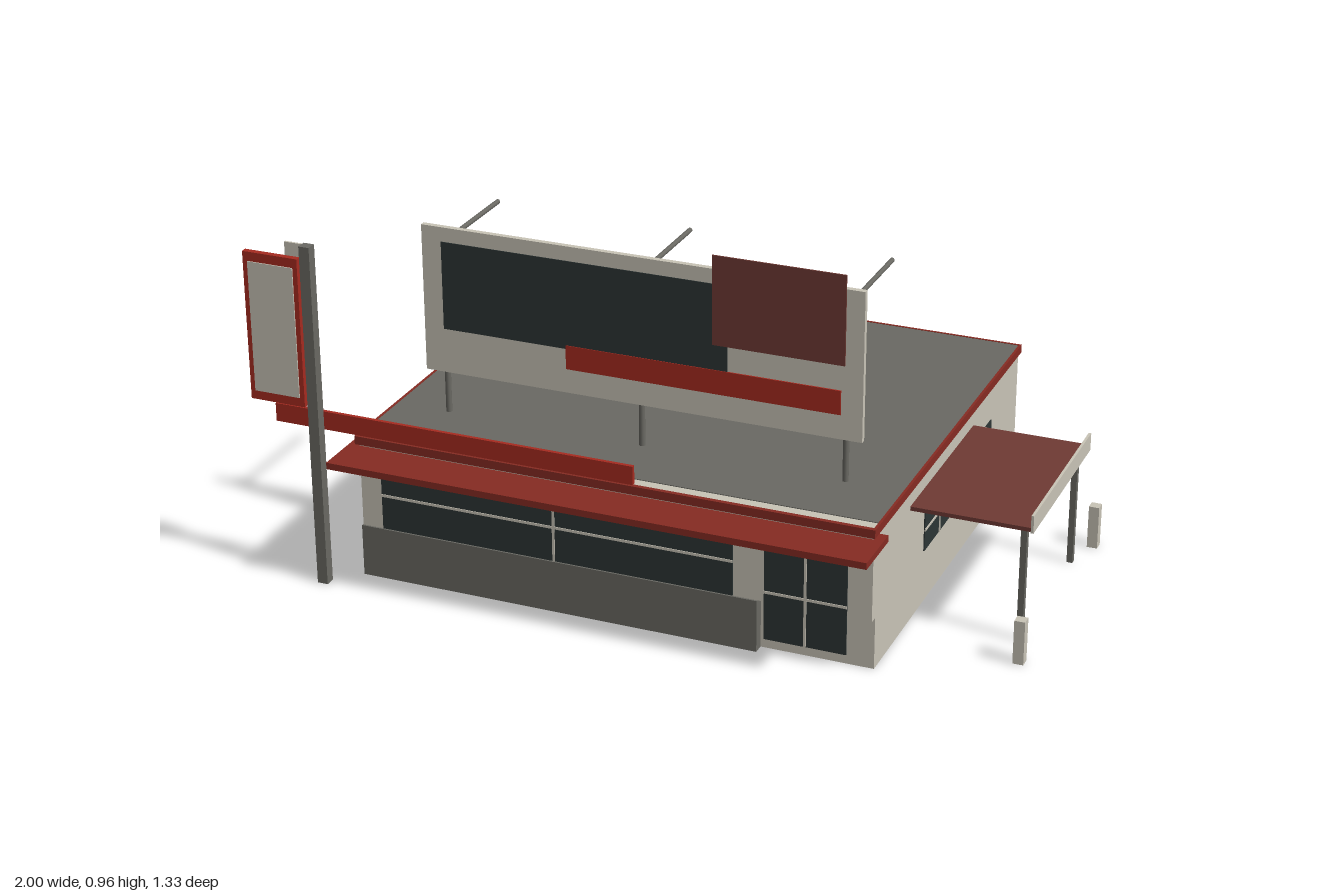
import * as THREE from 'three';

const mat = (name, color, extra = {}) => {
  const m = new THREE.MeshStandardMaterial({ color, ...extra });
  m.name = name;
  return m;
};

export function createModel() {
  const model = new THREE.Group();
  model.name = 'roadsideDiner';

  const cream = mat('cream', 0xc9c4b7);
  const creamOpen = cream; // walls are thin boxes, so one cream serves everywhere
  const grey = mat('grey', 0x6a6963);
  const glass = mat('darkGlass', 0x2c3535);
  const red = mat('signRed', 0xa62b20);
  const trimRed = mat('trimRed', 0x862b22);
  const brown = mat('brownRed', 0x6f3a34);

  const group = (name) => {
    const g = new THREE.Group();
    g.name = name;
    model.add(g);
    return g;
  };

  // Box given by its limits on each axis
  const box = (parent, name, material, [x0, x1], [y0, y1], [z0, z1]) => {
    const m = new THREE.Mesh(new THREE.BoxGeometry(x1 - x0, y1 - y0, z1 - z0), material);
    m.position.set((x0 + x1) / 2, (y0 + y1) / 2, (z0 + z1) / 2);
    m.name = name;
    parent.add(m);
    return m;
  };

  // Glazing plate with a cross of glazing bars, facing +z before any turn
  const paneWindow = (parent, name, w, h, x, y, z, turn = 0, barX = 0, barY = 0) => {
    const g = new THREE.Group();
    g.name = name;
    const b = 0.0035;
    box(g, 'glass', glass, [-w / 2, w / 2], [-h / 2, h / 2], [0, 0.003]);
    box(g, 'uprightBar', cream, [barX - b, barX + b], [-h / 2, h / 2], [0.001, 0.005]);
    box(g, 'crossBar', cream, [-w / 2, w / 2], [barY - b, barY + b], [0.001, 0.005]);
    g.position.set(x, y, z);
    g.rotation.y = turn;
    parent.add(g);
  };

  // Walls: hollow shell, open underneath
  const L = -0.74, R = 0.66, B = -0.657, F = 0.54, t = 0.006;
  const walls = group('walls');
  box(walls, 'backWall', creamOpen, [L, R], [0, 0.385], [B, B + t]);
  box(walls, 'leftWall', creamOpen, [R - t, R], [0, 0.385], [B + t, 0.515]);
  box(walls, 'rightWall', creamOpen, [L, L + t], [0, 0.385], [B + t, 0.515]);
  box(walls, 'frontWall', cream, [L, R], [0.143, 0.398], [0.507, F]);
  box(walls, 'entranceLowerWall', cream, [0.36, R], [0, 0.143], [0.509, 0.515]);
  box(walls, 'frontBulkhead', grey, [L - 0.002, 0.36], [0, 0.143], [0.515, 0.545]);

  // Windows and door
  const openings = group('windows');
  paneWindow(openings, 'frontWindow', 0.975, 0.187, -0.193, 0.238, F, 0, 0, 0.002);
  paneWindow(openings, 'door', 0.218, 0.265, 0.487, 0.172, F);
  paneWindow(openings, 'largeSideWindow', 0.24, 0.12, R, 0.21, 0.025, Math.PI / 2);
  paneWindow(openings, 'smallSideWindow', 0.11, 0.12, R, 0.22, -0.36, Math.PI / 2);

  // Flat roof, its edging and the front awning
  const roof = group('roof');
  const e = 0.007;
  box(roof, 'roofDeck', grey, [L, R], [0.385, 0.4], [B, 0.507]);
  box(roof, 'backTrim', trimRed, [L - e, R + e], [0.378, 0.401], [B - e, B]);
  box(roof, 'frontTrim', trimRed, [L - e, R + e], [0.378, 0.401], [F, F + 0.012]);
  box(roof, 'leftTrim', trimRed, [R, R + e], [0.378, 0.401], [B, F]);
  box(roof, 'rightTrim', trimRed, [L - e, L], [0.378, 0.401], [B, F]);
  box(roof, 'awning', trimRed, [-0.77, 0.685], [0.352, 0.37], [0.505, 0.663]);

  // Rooftop billboard
  const board = group('billboard');
  box(board, 'panel', cream, [-0.64, 0.557], [0.523, 0.924], [0.329, 0.344]);
  box(board, 'darkPlate', glass, [-0.585, 0.2], [0.645, 0.885], [0.344, 0.346]);
  box(board, 'redStripe', red, [-0.24, 0.5], [0.59, 0.655], [0.344, 0.348]);
  box(board, 'brownPlate', brown, [0.16, 0.51], [0.723, 0.962], [0.345, 0.349]);
  for (const x of [-0.592, -0.043, 0.507]) {
    const post = new THREE.Mesh(new THREE.CylinderGeometry(0.008, 0.008, 0.505, 12), grey);
    post.position.set(x, 0.6525, 0.319);
    post.name = 'billboardPost';
    const arm = new THREE.Mesh(new THREE.CylinderGeometry(0.0065, 0.0065, 0.32, 10), grey);
    arm.rotation.x = Math.PI / 2;
    arm.position.set(x, 0.872, 0.158);
    arm.name = 'lampArm';
    board.add(post, arm);
  }

  // Roadside pole sign
  const sign = group('poleSign');
  box(sign, 'pole', grey, [-0.832, -0.803], [0, 0.94], [0.605, 0.633]);
  box(sign, 'redFrame', red, [-1, -0.845], [0.495, 0.9], [0.608, 0.624]);
  box(sign, 'signFace', cream, [-0.986, -0.858], [0.52, 0.875], [0.624, 0.627]);
  box(sign, 'rearPanel', cream, [-0.892, -0.832], [0.59, 0.932], [0.593, 0.599]);
  box(sign, 'longRedBar', red, [-0.942, 0.055], [0.433, 0.483], [0.595, 0.605]);

  // Side canopy with posts and bollards
  const canopy = group('sideCanopy');
  box(canopy, 'canopyRoof', brown, [R, 0.973], [0.32, 0.331], [-0.257, 0.263]);
  box(canopy, 'canopyFascia', cream, [0.973, 0.98], [0.318, 0.366], [-0.253, 0.266]);
  for (const z of [0.235, -0.224]) {
    box(canopy, 'canopyPost', grey, [0.942, 0.958], [0, 0.32], [z - 0.008, z + 0.008]);
  }
  for (const z of [0.345, -0.335]) {
    box(canopy, 'bollard', cream, [0.968, 0.996], [0, 0.12], [z - 0.014, z + 0.014]);
  }

  return model;
}
